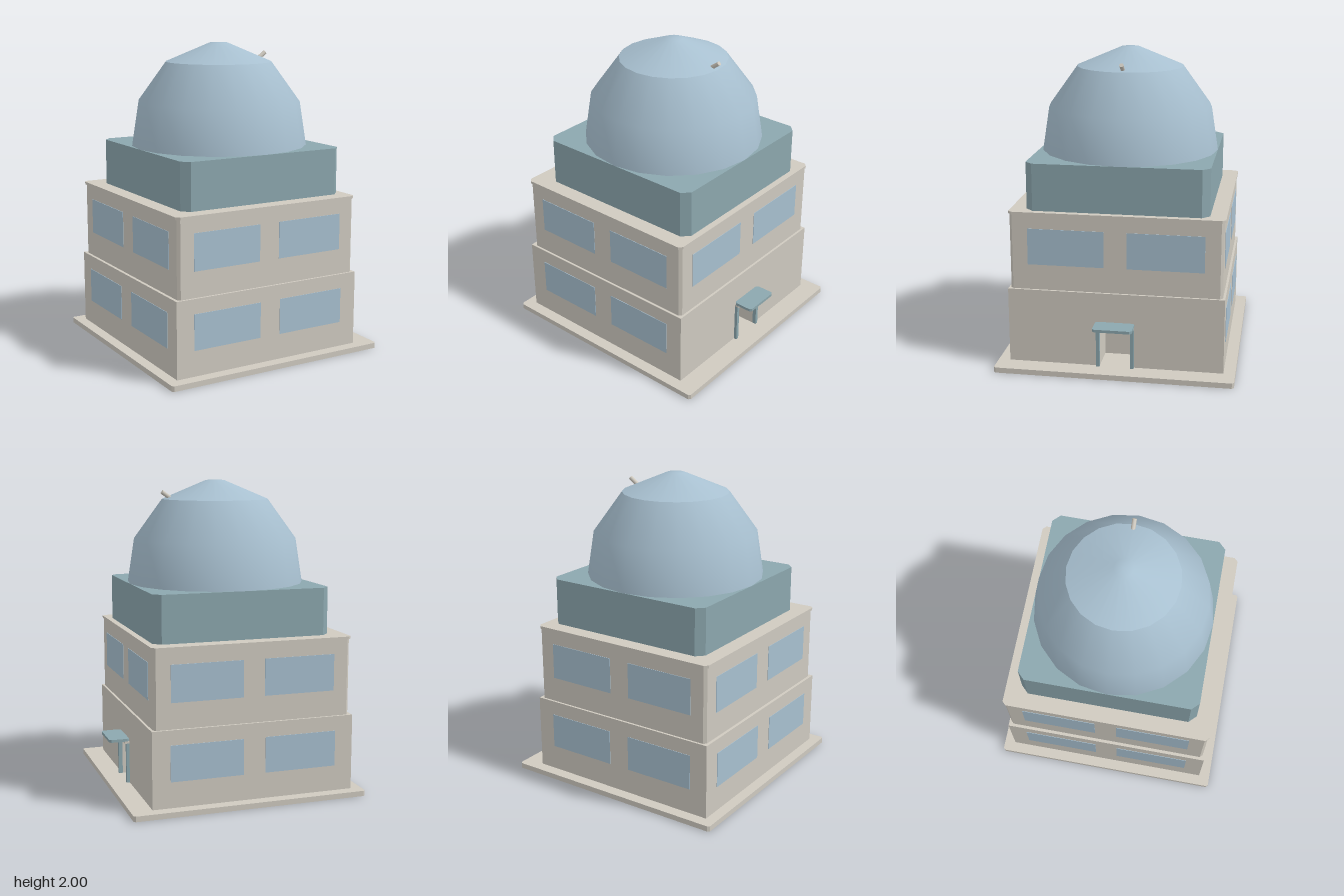
import * as THREE from 'three';

export function createModel() {
  const model = new THREE.Group();
  model.name = 'observatory';

  const mat = (name, color) => {
    const m = new THREE.MeshStandardMaterial({ color });
    m.name = name;
    return m;
  };
  const stone = mat('warm stone', 0xcfcac0);
  const teal = mat('grey teal', 0x8ca7ae);
  const blue = mat('pale blue', 0xa8c0d0);

  const add = (name, geometry, material, parent = model) => {
    const mesh = new THREE.Mesh(geometry, material);
    mesh.name = name;
    parent.add(mesh);
    return mesh;
  };

  // Upright prism over a floor plan of [x, z] points
  const extrudePlan = (plan, y0, y1) => {
    const shape = new THREE.Shape(plan.map(([x, z]) => new THREE.Vector2(x, -z)));
    const g = new THREE.ExtrudeGeometry(shape, { depth: y1 - y0, bevelEnabled: false });
    return g.rotateX(-Math.PI / 2).translate(0, y0, 0);
  };

  // Block with its four upright corners cut by c
  const block = (x0, x1, y0, y1, z0, z1, c) => extrudePlan([
    [x0 + c, z1], [x1 - c, z1], [x1, z1 - c], [x1, z0 + c],
    [x1 - c, z0], [x0 + c, z0], [x0, z0 + c], [x0, z1 - c],
  ], y0, y1);

  const box = (x0, x1, y0, y1, z0, z1) =>
    new THREE.BoxGeometry(x1 - x0, y1 - y0, z1 - z0)
      .translate((x0 + x1) / 2, (y0 + y1) / 2, (z0 + z1) / 2);

  add('baseSlab', block(-0.765, 0.765, 0, 0.035, -0.765, 0.765, 0.013), stone);

  // Lower storey, with a doorway recessed into its left wall
  const L = { x0: -0.695, x1: 0.63, z: 0.69 };
  const door = { z: 0.1, back: 0.43, top: 0.3 };
  add('lowerStoreyWithDoorway', extrudePlan([
    [L.x0, L.z], [L.x1, L.z], [L.x1, door.z], [door.back, door.z],
    [door.back, -door.z], [L.x1, -door.z], [L.x1, -L.z], [L.x0, -L.z],
  ], 0.035, door.top), stone);
  add('lowerStoreyTop', box(L.x0, L.x1, door.top, 0.525, -L.z, L.z), stone);

  // Upper storey and cornice
  const U = { x0: -0.675, x1: 0.615, z: 0.675 };
  add('upperStorey', block(U.x0, U.x1, 0.525, 1.015, -U.z, U.z, 0.017), stone);
  add('cornice', block(-0.685, 0.622, 1.015, 1.032, -0.683, 0.683, 0.023), stone);

  // Entrance frame and canopy
  const entrance = new THREE.Group();
  entrance.name = 'entrance';
  model.add(entrance);
  for (const s of [-1, 1]) {
    add('doorPost', box(0.625, 0.65, 0.035, 0.3, s * 0.11 - 0.011, s * 0.11 + 0.011), teal, entrance);
  }
  add('doorLintel', box(0.625, 0.66, 0.3, 0.316, -0.121, 0.121), stone, entrance);
  add('canopy', block(0.63, 0.762, 0.316, 0.334, -0.125, 0.125, 0.013), teal, entrance);

  // Windows: thin panes in pairs on each wall
  const t = 0.003;
  const windows = new THREE.Group();
  windows.name = 'windows';
  model.add(windows);
  const storeys = [
    { ...L, y0: 0.2, y1: 0.43, xa: 0.072, xb: 0.545, za: 0.075, zb: 0.57, sides: [-1] },
    { ...U, y0: 0.69, y1: 0.925, xa: 0.07, xb: 0.536, za: 0.073, zb: 0.56, sides: [-1, 1] },
  ];
  for (const w of storeys) {
    const cx = -0.031;
    for (const m of [-1, 1]) {
      const xs = [cx + m * w.xa, cx + m * w.xb].sort((a, b) => a - b);
      const zs = [m * w.za, m * w.zb].sort((a, b) => a - b);
      for (const s of [-1, 1]) {
        add(s > 0 ? 'frontWindow' : 'backWindow',
          box(...xs, w.y0, w.y1, s * w.z - t, s * w.z + t), blue, windows);
      }
      for (const s of w.sides) {
        const wall = s > 0 ? w.x1 : w.x0;
        add(s > 0 ? 'leftWindow' : 'rightWindow',
          box(wall - t, wall + t, w.y0, w.y1, ...zs), blue, windows);
      }
    }
  }

  // Drum under the dome
  add('drum', block(-0.58, 0.58, 1.032, 1.335, -0.58, 0.58, 0.048), teal);

  // Dome in two smooth zones with a crease between them
  const lathe = (pts) => new THREE.LatheGeometry(pts.map(([r, y]) => new THREE.Vector2(r, y)), 20);
  add('domeShell', lathe([[0.58, 1.335], [0.535, 1.62], [0.348, 1.878]]), blue);
  add('domeCap', lathe([[0.348, 1.878], [0.06, 2], [0, 2]]), blue);

  // Telescope tube poking out of the dome
  const from = new THREE.Vector3(0.29, 1.875, 0);
  const to = new THREE.Vector3(0.361, 1.926, 0);
  const dir = to.clone().sub(from);
  const tube = add('telescope', new THREE.CylinderGeometry(0.014, 0.014, dir.length(), 10), stone);
  tube.position.copy(from).add(to).multiplyScalar(0.5);
  tube.quaternion.setFromUnitVectors(new THREE.Vector3(0, 1, 0), dir.normalize());

  return model;
}
